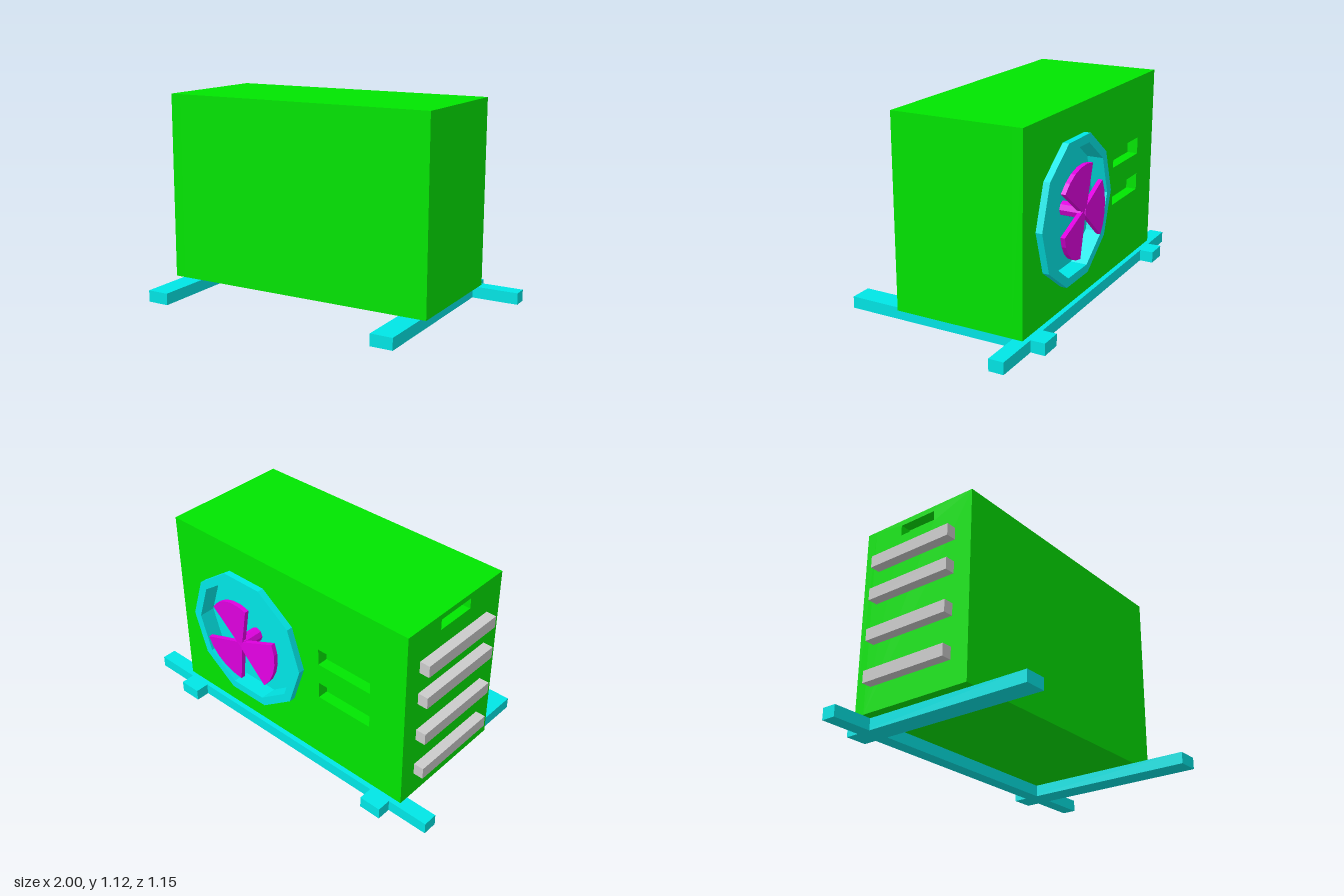
import * as THREE from 'three';

const mat = (color) => new THREE.MeshStandardMaterial({ color, flatShading: true });
const green = mat(0x00e600), cyan = mat(0x00e6e6), magenta = mat(0xe000e0), grey = mat(0xcccccc);

const FAN = { x: 0.2425, y: 0.579, r: 0.399 };
const BACK = -0.467, WALL = 0.06, RIGHT = -0.818, LEFT = 0.768;

function mesh(parent, name, geometry, material) {
  const m = new THREE.Mesh(geometry, material);
  m.name = name;
  parent.add(m);
  return m;
}

// Box given by its limits on each axis
function box(parent, name, material, [x0, x1], [y0, y1], [z0, z1]) {
  const m = mesh(parent, name, new THREE.BoxGeometry(x1 - x0, y1 - y0, z1 - z0), material);
  m.position.set((x0 + x1) / 2, (y0 + y1) / 2, (z0 + z1) / 2);
}

const rect = (x0, x1, y0, y1) => new THREE.Shape([
  new THREE.Vector2(x0, y0), new THREE.Vector2(x1, y0),
  new THREE.Vector2(x1, y1), new THREE.Vector2(x0, y1)]);

function decagon(r, cx = 0, cy = 0) {
  const pts = [];
  for (let i = 0; i < 10; i++) {
    const a = i * Math.PI / 5;
    pts.push(new THREE.Vector2(cx + r * Math.cos(a), cy + r * Math.sin(a)));
  }
  return new THREE.Shape(pts);
}

const extrude = (shape, depth) => new THREE.ExtrudeGeometry(shape, { depth, bevelEnabled: false });

// Fan blade: a blunt-rooted sector, pitched so one edge stands further out
function bladeGeometry(radius, span, thickness) {
  const pts = [new THREE.Vector2(0.01, 0.022), new THREE.Vector2(0.01, -0.022)];
  for (let i = 0; i <= 5; i++) {
    const a = (i / 5 - 0.5) * span;
    pts.push(new THREE.Vector2(radius * Math.cos(a), radius * Math.sin(a)));
  }
  const g = extrude(new THREE.Shape(pts), thickness);
  const p = g.attributes.position;
  for (let i = 0; i < p.count; i++) p.setZ(i, p.getZ(i) - 0.065 * p.getY(i));
  g.computeVertexNormals();
  return g;
}

export function createModel() {
  const model = new THREE.Group();
  model.name = 'outdoorFanUnit';

  // Casing: solid core, with slotted panels on the back and one side
  const casing = new THREE.Group();
  casing.name = 'casing';
  model.add(casing);
  box(casing, 'casingCore', green, [RIGHT + WALL, LEFT], [0.065, 1.12], [BACK + WALL, 0.265]);

  const back = rect(RIGHT, LEFT, 0.065, 1.12);
  back.holes.push(decagon(0.37, FAN.x, FAN.y));
  for (const y of [0.455, 0.67]) back.holes.push(rect(-0.6, -0.26, y, y + 0.095));
  mesh(casing, 'backPanel', extrude(back, WALL), green).position.z = BACK;

  const side = rect(BACK + WALL, 0.265, 0.065, 1.12);
  side.holes.push(rect(-0.22, 0.01, 1.03, 1.09));
  const sidePanel = mesh(casing, 'sidePanel', extrude(side, WALL), green);
  sidePanel.rotation.y = -Math.PI / 2;
  sidePanel.position.x = RIGHT + WALL;

  // Side fins
  for (const y of [0.205, 0.437, 0.67, 0.863])
    box(model, 'sideFin', grey, [-0.875, RIGHT], [y, y + 0.067], [-0.37, 0.16]);

  // Base: two runners and a rear crossbar
  for (const x of [-0.765, 0.612])
    box(model, 'runner', cyan, [x, x + 0.125], [0, 0.065], [-0.573, 0.573]);
  box(model, 'crossbar', cyan, [-1, 1], [0, 0.0648], [-0.495, -0.413]);

  // Fan housing: ten-sided rim around a sunken floor
  const fan = new THREE.Group();
  fan.name = 'fanAssembly';
  fan.position.set(FAN.x, FAN.y, 0);
  model.add(fan);
  const collar = decagon(FAN.r);
  collar.holes.push(decagon(0.35));
  mesh(fan, 'fanRim', extrude(collar, 0.036), cyan).position.z = -0.503;
  const sleeve = decagon(0.37);
  sleeve.holes.push(decagon(0.35));
  mesh(fan, 'fanSleeve', extrude(sleeve, 0.06), cyan).position.z = BACK;
  mesh(fan, 'fanFloor', extrude(decagon(0.36), 0.01), cyan).position.z = -0.412;

  // Hub and three blades
  const hub = mesh(fan, 'fanHub', new THREE.CylinderGeometry(0.04, 0.04, 0.122, 8), magenta);
  hub.rotation.x = Math.PI / 2;
  hub.position.z = -0.471;
  const blade = bladeGeometry(0.252, THREE.MathUtils.degToRad(70), 0.025);
  for (let i = 0; i < 3; i++) {
    const b = mesh(fan, 'fanBlade', blade, magenta);
    b.rotation.z = THREE.MathUtils.degToRad(70 + i * 120);
    b.position.z = -0.537;
  }
  return model;
}
